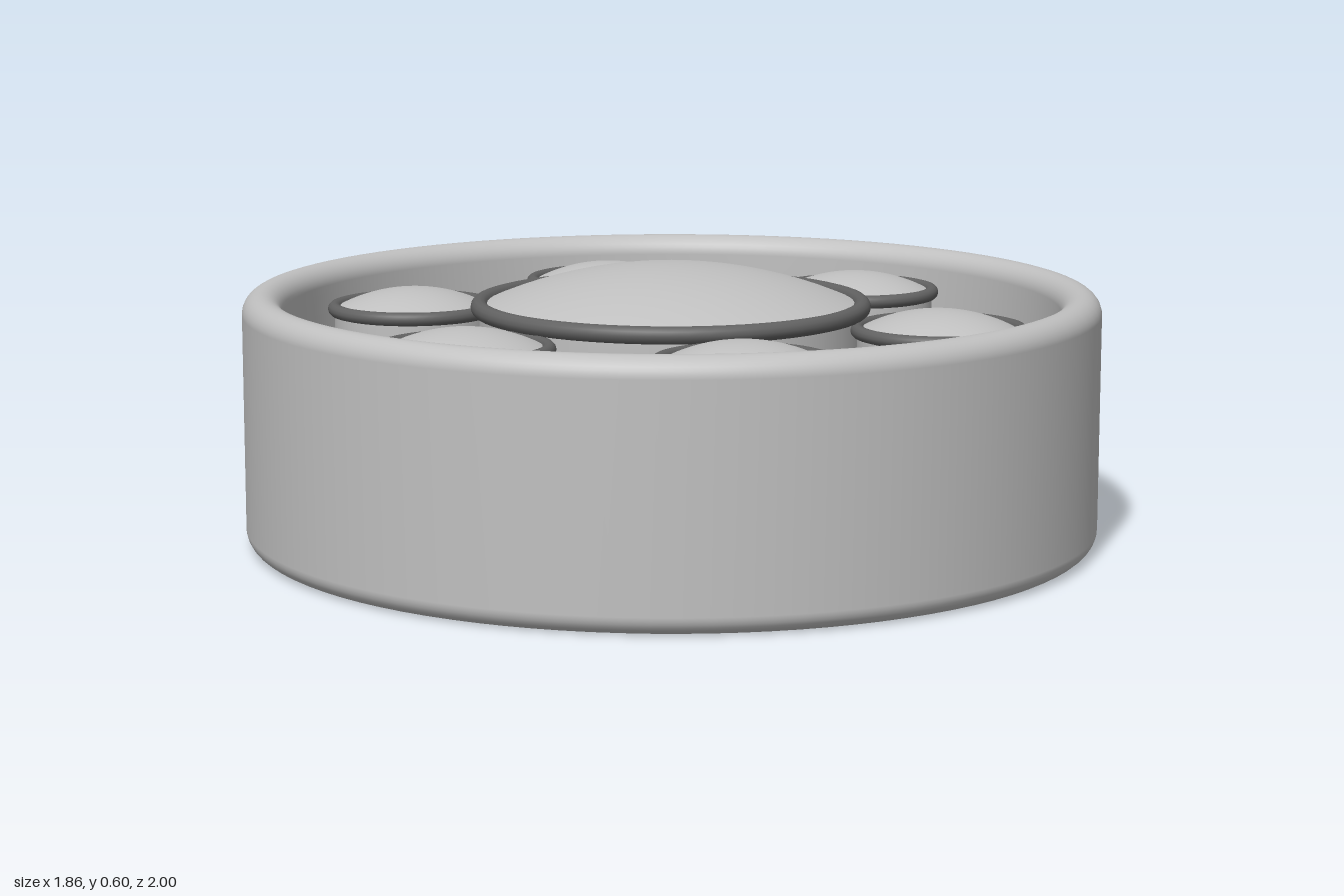
import * as THREE from 'three';

const CENTER_Z = 0.07;
const FLOOR_Y = 0.4;

// quarter-circle profile points around (cx, cy), from angle a to b in degrees
function arc(cx, cy, r, a, b, n = 8) {
  const pts = [];
  for (let i = 0; i <= n; i++) {
    const t = THREE.MathUtils.degToRad(a + ((b - a) * i) / n);
    pts.push(new THREE.Vector2(cx + r * Math.cos(t), cy + r * Math.sin(t)));
  }
  return pts;
}

export function createModel() {
  const model = new THREE.Group();
  model.name = 'roundDish';
  const lightGrey = new THREE.MeshStandardMaterial({ color: 0xc0c0c0 });
  lightGrey.name = 'lightGrey';
  const darkGrey = new THREE.MeshStandardMaterial({ color: 0x626262 });
  darkGrey.name = 'darkGrey';

  function add(parent, name, geometry, material, x = 0, y = 0, z = 0) {
    const mesh = new THREE.Mesh(geometry, material);
    mesh.name = name;
    mesh.position.set(x, y, z);
    parent.add(mesh);
    return mesh;
  }

  // side wall with rounded foot and rounded rim
  const wall = [
    ...arc(0.89, 0.04, 0.04, -90, 0),
    ...arc(0.887, 0.507, 0.043, 0, 180, 16),
    new THREE.Vector2(0.844, FLOOR_Y),
  ];
  add(model, 'dishWall', new THREE.LatheGeometry(wall, 96), lightGrey, 0, 0, CENTER_Z);

  // recessed floor and flat underside
  const floor = new THREE.CircleGeometry(0.845, 96).rotateX(-Math.PI / 2);
  add(model, 'dishFloor', floor, lightGrey, 0, FLOOR_Y, CENTER_Z);
  const underside = new THREE.CircleGeometry(0.89, 96).rotateX(Math.PI / 2);
  add(model, 'underside', underside, lightGrey, 0, 0, CENTER_Z);

  // domed button: drum, dark ring and shallow spherical cap
  function addButton(name, x, z, radius, tube, ringY, rise) {
    const button = new THREE.Group();
    button.name = name;
    button.position.set(x, 0, z);
    model.add(button);
    const h = ringY - FLOOR_Y;
    const drum = new THREE.CylinderGeometry(radius, radius, h, 64, 1, true);
    add(button, 'drum', drum, lightGrey, 0, FLOOR_Y + h / 2);
    const ring = new THREE.TorusGeometry(radius, tube, 12, 64).rotateX(Math.PI / 2);
    add(button, 'ring', ring, darkGrey, 0, ringY);
    const R = (radius * radius + rise * rise) / (2 * rise);
    const cap = new THREE.SphereGeometry(R, 64, 12, 0, Math.PI * 2, 0, Math.asin(radius / R));
    add(button, 'dome', cap, lightGrey, 0, ringY + rise - R);
  }

  addButton('centreButton', 0, CENTER_Z - 0.005, 0.417, 0.019, 0.51, 0.09);
  for (let i = 0; i < 6; i++) {
    const a = THREE.MathUtils.degToRad(43 + 60 * i);
    addButton('smallButton' + (i + 1), 0.595 * Math.cos(a),
      CENTER_Z - 0.005 + 0.595 * Math.sin(a), 0.175, 0.015, 0.48, 0.045);
  }

  // two round pegs at the back
  for (const side of [-1, 1]) {
    const peg = new THREE.CylinderGeometry(0.075, 0.075, 0.35, 40).rotateX(Math.PI / 2);
    add(model, side > 0 ? 'leftPeg' : 'rightPeg', peg, lightGrey, side * 0.415, 0.17, -0.825);
  }
  return model;
}
